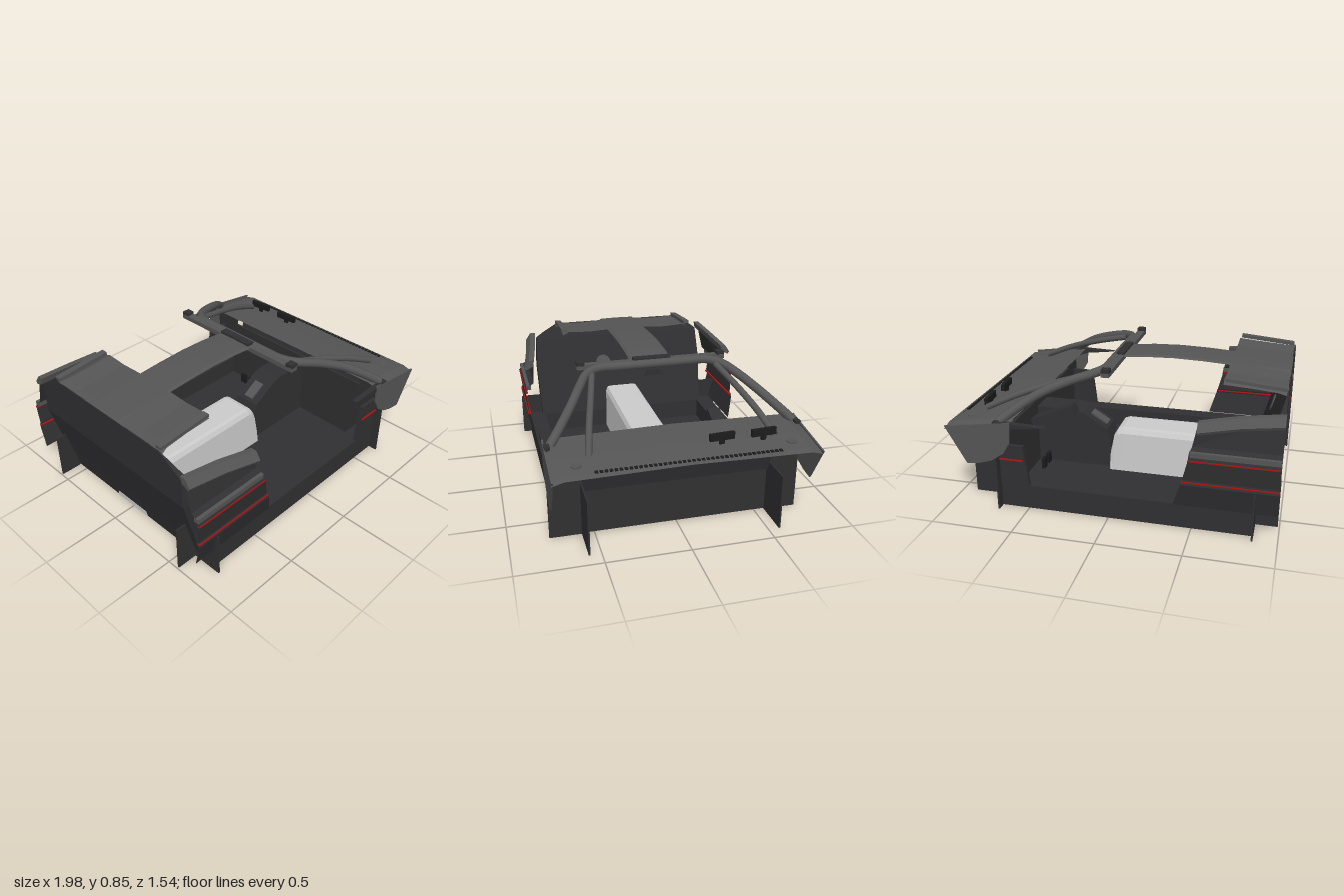
import * as THREE from 'three';

const mat = (color, flat = true) =>
  new THREE.MeshStandardMaterial({ color, flatShading: flat, side: THREE.DoubleSide });
const DARK = mat(0x303032), MID = mat(0x555555), BLACK = mat(0x1c1c1c), RED = mat(0xb01010);
const PALE = mat(0xcccccc), PIPE = mat(0x555555, false);

function add(parent, name, geometry, material, x = 0, y = 0, z = 0) {
  const mesh = new THREE.Mesh(geometry, material);
  mesh.name = name;
  mesh.position.set(x, y, z);
  parent.add(mesh);
  return mesh;
}

// Box given by its limits on each axis
function box(parent, name, material, [x0, x1], [y0, y1], [z0, z1]) {
  return add(parent, name, new THREE.BoxGeometry(x1 - x0, y1 - y0, z1 - z0), material,
    (x0 + x1) / 2, (y0 + y1) / 2, (z0 + z1) / 2);
}

// Side outline in x,y pulled across z
function slab(parent, name, material, outline, z0, z1) {
  const shape = new THREE.Shape(outline.map(p => new THREE.Vector2(...p)));
  return add(parent, name, new THREE.ExtrudeGeometry(shape, { depth: z1 - z0, bevelEnabled: false }),
    material, 0, 0, z0);
}

// Skin stretched over rows of points
function skin(parent, name, material, rows, closed = false) {
  const n = rows[0].length, index = [];
  for (let i = 0; i < rows.length - 1; i++)
    for (let j = 0; j < (closed ? n : n - 1); j++) {
      const a = i * n + j, b = i * n + (j + 1) % n;
      index.push(a, b, a + n, b, b + n, a + n);
    }
  if (closed) for (const start of [0, (rows.length - 1) * n])
    for (let j = 1; j < n - 1; j++)
      index.push(start, start + j + (start ? 0 : 1), start + j + (start ? 1 : 0));
  const g = new THREE.BufferGeometry();
  g.setAttribute('position', new THREE.Float32BufferAttribute(rows.flat(2), 3));
  g.setIndex(index);
  g.computeVertexNormals();
  return add(parent, name, g, material);
}

function tube(parent, name, points, radius) {
  const curve = new THREE.CatmullRomCurve3(points.map(p => new THREE.Vector3(...p)));
  return add(parent, name, new THREE.TubeGeometry(curve, 40, radius, 10), PIPE);
}

// Parts found on both sides, built on the +z side
function buildSide(parent) {
  box(parent, 'sill', DARK, [-0.85, 0.68], [0, 0.15], [0.6, 0.71]);
  box(parent, 'frontWheelFlange', DARK, [0.672, 0.682], [0, 0.53], [0.57, 0.765]);
  box(parent, 'frontInnerFender', DARK, [0.68, 0.91], [0, 0.34], [0.565, 0.575]);
  box(parent, 'rearWheelFlange', DARK, [-0.86, -0.85], [0, 0.29], [0.57, 0.765]);
  box(parent, 'rearInnerFender', DARK, [-0.99, -0.855], [0, 0.3], [0.565, 0.575]);

  // Rear quarter skin: each level holds y, front x, outer z
  const levels = [[0.15, -0.39, 0.72], [0.3, -0.435, 0.755], [0.33, -0.445, 0.745],
    [0.45, -0.475, 0.76], [0.5, -0.48, 0.74], [0.52, -0.49, 0.70], [0.665, -0.52, 0.69]];
  skin(parent, 'rearQuarterPanel', DARK, [0, 1].map(front =>
    levels.map(([y, x, z], i) => (front ? [x, y, z] : i === 6 ? [-0.99, 0.73, 0.65] : [-0.99, y, z]))));
  box(parent, 'upperRedStripe', RED, [-0.99, -0.475], [0.453, 0.459], [0.745, 0.762]);
  box(parent, 'lowerRedStripe', RED, [-0.99, -0.44], [0.314, 0.32], [0.735, 0.755]);
  box(parent, 'quarterLedge', MID, [-0.99, -0.485], [0.475, 0.505], [0.72, 0.752]);

  // Rail along the top of the rear quarter
  skin(parent, 'rearQuarterRail', MID, [[-0.99, 0.735, 0.65], [-0.75, 0.712, 0.675], [-0.52, 0.677, 0.71]]
    .map(([x, y, z]) => [[x, y, z - 0.025], [x, y, z + 0.012], [x, y - 0.05, z + 0.045],
      [x, y - 0.068, z + 0.035], [x, y - 0.045, z - 0.015]]), true);

  // Door hinge pillar and window sill
  slab(parent, 'hingePillar', DARK, [[0.49, 0.15], [0.52, 0.41], [0.68, 0.41], [0.68, 0.15]], 0.69, 0.715);
  box(parent, 'pillarRedStripe', RED, [0.52, 0.68], [0.314, 0.321], [0.705, 0.725]);
  slab(parent, 'windowSillFin', DARK, [[0.36, 0.565], [0.68, 0.575], [0.68, 0.5], [0.56, 0.54]], 0.73, 0.765);

  // Front fender side, open towards the front
  slab(parent, 'fenderSide', MID, [[0.57, 0.58], [0.99, 0.52], [0.86, 0.29], [0.78, 0.3],
    [0.7, 0.325], [0.62, 0.38], [0.58, 0.45]], 0.758, 0.768);
  const cap = new THREE.CylinderGeometry(0.03, 0.03, 0.012, 20);
  add(parent, 'fenderCap', cap, MID, 0.87, 0.543, 0.62);

  // Windscreen pillars
  tube(parent, 'windscreenPillar', [[0.11, 0.81, 0], [0.11, 0.81, 0.22], [0.115, 0.81, 0.35],
    [0.17, 0.8, 0.43], [0.3, 0.765, 0.5], [0.45, 0.705, 0.58], [0.57, 0.63, 0.665], [0.65, 0.57, 0.73]], 0.028);
  tube(parent, 'innerBrace', [[0.17, 0.79, 0.4], [0.4, 0.73, 0.45], [0.62, 0.655, 0.5], [0.81, 0.57, 0.54]], 0.02);
  box(parent, 'headerClip', DARK, [0.05, 0.1], [0.825, 0.848], [0.43, 0.48]);
  const rail = box(parent, 'roofSideRail', MID, [-0.98, -0.63], [0.818, 0.838], [0.43, 0.47]);
  rail.rotation.z = 0.09;
}

export function createModel() {
  const car = new THREE.Group();
  car.name = 'carCabin';
  for (const s of [1, -1]) {
    const side = new THREE.Group();
    side.name = s > 0 ? 'leftHandSide' : 'rightHandSide';
    side.name = s > 0 ? 'nearSide' : 'farSide';
    side.scale.z = s;
    buildSide(side);
    car.add(side);
  }

  // Floor and firewall
  box(car, 'floor', DARK, [-0.85, 0.68], [0.005, 0.02], [-0.62, 0.62]);
  box(car, 'firewall', DARK, [0.665, 0.68], [0.005, 0.46], [-0.58, 0.58]);

  // Leaning rear bulkhead: each level holds y, back x, front x, half width
  skin(car, 'rearBulkhead', DARK, [[0.01, -0.85, -0.78, 0.61], [0.15, -0.885, -0.785, 0.62], [0.5, -0.98, -0.88, 0.63],
    [0.7, -0.985, -0.945, 0.62], [0.735, -0.986, -0.96, 0.57], [0.8, -0.988, -0.982, 0.46]]
    .map(([y, b, f, w]) => [[b, y, -w], [b, y, w], [f, y, w], [f, y, -w]]), true);
  const vent = add(car, 'bulkheadVent', new THREE.CylinderGeometry(0.055, 0.055, 0.01, 24), MID, -0.88, 0.5, 0.13);
  vent.rotation.z = Math.PI / 2 - 0.28 + Math.PI;
  vent.rotation.z = Math.PI / 2 + 0.28;

  // Central tunnel with a rounded nose
  skin(car, 'tunnel', PALE, [[-0.86, 0.32], [0.07, 0.32], [0.1, 0.31], [0.125, 0.27], [0.15, 0.15], [0.155, 0.02]]
    .map(([x, h]) => [[x, 0.015, 0.135], [x, Math.max(h - 0.035, 0.015), 0.125], [x, h - 0.005, 0.11], [x, h, 0.085],
      [x, h, -0.085], [x, h - 0.005, -0.11], [x, Math.max(h - 0.035, 0.015), -0.125], [x, 0.015, -0.135]]), true);

  // Centre console, its screen and the steering column
  slab(car, 'centreConsole', DARK, [[0.15, 0.02], [0.155, 0.2], [0.18, 0.29], [0.35, 0.395],
    [0.41, 0.41], [0.67, 0.41], [0.67, 0.02]], -0.09, 0.09);
  const screen = box(car, 'consoleScreen', MID, [0.185, 0.315], [0.335, 0.347], [-0.035, 0.035]);
  screen.rotation.z = 0.55;
  const column = box(car, 'steeringColumn', DARK, [0.3, 0.6], [0.445, 0.5], [-0.38, -0.3]);
  column.rotation.z = -0.4;
  for (const z of [-0.38, -0.3]) box(car, 'pedal', BLACK, [0.52, 0.54], [0.1, 0.17], [z, z + 0.05]);

  // Cowl with stepped front
  skin(car, 'cowlTop', MID, [[0.57, 0.58], [0.8, 0.555], [0.95, 0.53], [0.99, 0.52]].map(([x, y]) =>
    [[x, y - 0.02, -0.768], [x, y, -0.7], [x - 0.01, y + 0.008, 0], [x, y, 0.7], [x, y - 0.02, 0.768]]));
  skin(car, 'cowlFront', DARK, [[0.96, 0.53], [0.94, 0.52], [0.8, 0.52], [0.8, 0.46], [0.74, 0.45], [0.7, 0.29], [0.67, 0.29]]
    .map(([x, y]) => [[x, y, -0.57], [x, y, 0.57]]));
  for (let i = 0; i < 40; i++) {
    const z = -0.53 + i * 0.0268;
    box(car, 'cowlSlot', BLACK, [0.937, 0.957], [0.532, 0.54], [z, z + 0.017]);
  }
  for (const z of [-0.54, -0.29]) {
    const block = box(car, 'cowlBlock', BLACK, [0.812, 0.835], [0.58, 0.622], [z, z + 0.15]);
    box(car, 'blockFoot', BLACK, [0.815, 0.83], [0.54, 0.6], [z + 0.06, z + 0.09]);
    block.rotation.y = 0.08;
  }

  // Roof: narrow spine, wide rear panel and windscreen header
  const spine = [[-0.98, 0.815], [-0.62, 0.835], [-0.45, 0.845], [-0.27, 0.85], [-0.1, 0.845], [0.1, 0.828]];
  skin(car, 'roofSpine', MID, spine.map(([x, y]) => [[x, y - 0.012, -0.135], [x, y - 0.002, -0.12],
    [x, y, 0], [x, y - 0.002, 0.12], [x, y - 0.012, 0.135]]));
  skin(car, 'rearRoof', MID, [[-0.985, 0.8, 0.48], [-0.93, 0.808, 0.46], [-0.78, 0.82, 0.455], [-0.62, 0.832, 0.46]]
    .map(([x, y, w]) => [-1, -0.9, -0.6, -0.28, 0, 0.28, 0.6, 0.9, 1].map(t =>
      [x, y + (Math.abs(t) === 1 ? -0.02 : Math.abs(t) === 0.6 ? -0.006 : 0.002), t * w])));
  box(car, 'windscreenHeader', MID, [0.05, 0.1], [0.8, 0.83], [-0.48, 0.48]);
  box(car, 'headerMount', DARK, [0.05, 0.1], [0.828, 0.845], [-0.12, 0.12]);
  skin(car, 'rearViewMirror', DARK, [0.12, 0.15].map(x =>
    [[x, 0.785, -0.03], [x, 0.785, 0.03], [x, 0.745, 0.06], [x, 0.745, -0.06]]), true);
  return car;
}
